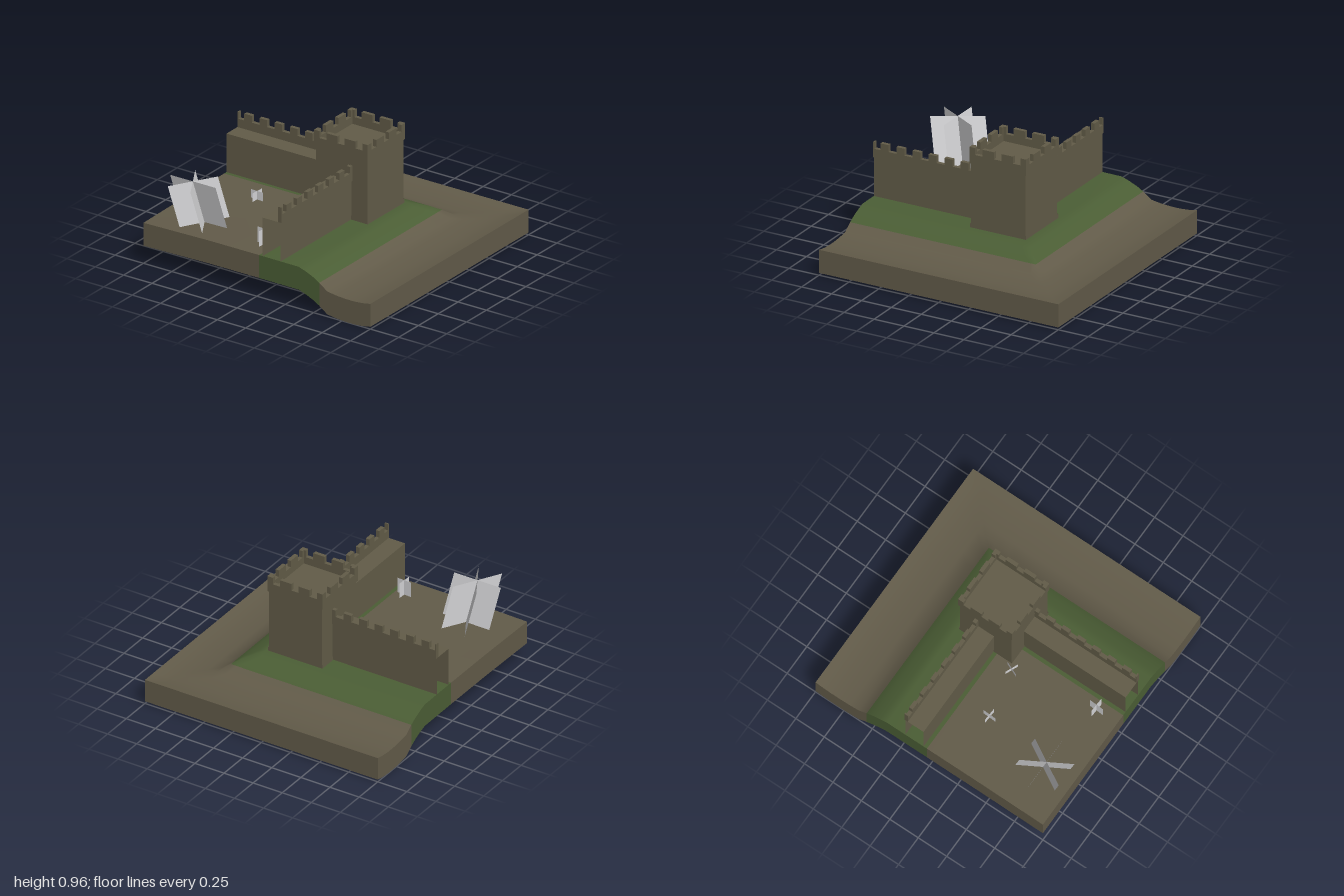
import * as THREE from 'three';

const mat = (name, color, side = THREE.DoubleSide) => {
  const m = new THREE.MeshStandardMaterial({ color, side });
  m.name = name;
  return m;
};

export function createModel() {
  const model = new THREE.Group();
  model.name = 'castleCorner';
  const earth = mat('earth', 0x625b49);
  const grass = mat('grass', 0x4b5e35);
  const stone = mat('stone', 0x625c48);
  const foliage = mat('foliage', 0xd4d4d6);

  const add = (name, geometry, material, parent = model) => {
    const mesh = new THREE.Mesh(geometry, material);
    mesh.name = name;
    parent.add(mesh);
    return mesh;
  };

  // Box from its limits; "open" lists faces left out (0 +x, 1 -x, 2 +y, 3 -y, 4 +z, 5 -z)
  const box = (name, [x0, x1], [y0, y1], [z0, z1], parent, open = []) => {
    const g = new THREE.BoxGeometry(x1 - x0, y1 - y0, z1 - z0);
    const index = Array.from(g.index.array).filter((_, i) => !open.includes(Math.floor(i / 6)));
    g.setIndex(index);
    g.clearGroups();
    g.translate((x0 + x1) / 2, (y0 + y1) / 2, (z0 + z1) / 2);
    return add(name, g, stone, parent);
  };

  // ---- Ground: height depends on the distance outward from the walled yard ----
  const profile = [[-1, 0.322], [-0.43, 0.332], [0.02, 0.332], [0.37, 0.33], [0.43, 0.31], [0.5, 0.28],
    [0.55, 0.25], [0.62, 0.2], [0.7, 0.188], [0.78, 0.183], [0.86, 0.182], [0.93, 0.188], [1, 0.2]];
  const n = profile.length;
  const skirtDepth = 0.182;
  const heightAt = (i, j) => profile[Math.max(i, j)][1];
  const isGrass = (k) => profile[k][0] >= 0.02 && profile[k][0] < 0.55;

  const groundGeometry = () => {
    const pos = [], earthIndex = [], grassIndex = [];
    for (let j = 0; j < n; j++)
      for (let i = 0; i < n; i++) pos.push(profile[i][0], heightAt(i, j), -profile[j][0]);
    for (let j = 0; j < n - 1; j++)
      for (let i = 0; i < n - 1; i++) {
        const a = j * n + i, b = a + 1, c = a + n, d = c + 1;
        (isGrass(Math.max(i, j)) ? grassIndex : earthIndex).push(a, b, d, a, d, c);
      }
    const g = new THREE.BufferGeometry();
    g.setAttribute('position', new THREE.Float32BufferAttribute(pos, 3));
    g.setIndex([...earthIndex, ...grassIndex]);
    g.addGroup(0, earthIndex.length, 0);
    g.addGroup(earthIndex.length, grassIndex.length, 1);
    g.computeVertexNormals();
    return g;
  };
  add('ground', groundGeometry(), [earth, grass]);

  // Rim hanging below each ground edge
  const skirt = (name, point, colourAt, flip) => {
    const pos = [], g = new THREE.BufferGeometry();
    for (let k = 0; k < n - 1; k++) {
      const [a, b] = flip ? [point(k + 1), point(k)] : [point(k), point(k + 1)];
      const low = ([x, y, z]) => [x, y - skirtDepth, z];
      pos.push(...low(a), ...low(b), ...b, ...low(a), ...b, ...a);
      g.addGroup(k * 6, 6, colourAt(k) ? 1 : 0);
    }
    g.setAttribute('position', new THREE.Float32BufferAttribute(pos, 3));
    g.computeVertexNormals();
    add(name, g, [earth, grass]);
  };
  const last = n - 1;
  skirt('frontRim', (k) => [profile[k][0], heightAt(k, 0), 1], isGrass, false);
  skirt('rightRim', (k) => [-1, heightAt(0, k), -profile[k][0]], isGrass, true);
  skirt('leftRim', (k) => [1, heightAt(last, k), -profile[k][0]], () => false, false);
  skirt('backRim', (k) => [profile[k][0], heightAt(k, last), -1], () => false, true);

  // ---- Two curtain walls, the second mirrored across the diagonal ----
  for (const mirrored of [false, true]) {
    const wall = new THREE.Group();
    wall.name = mirrored ? 'frontWall' : 'sideWall';
    model.add(wall);
    const place = (name, xr, yr, zr, open = []) => mirrored
      ? box(name, [-zr[1], -zr[0]], yr, [-xr[1], -xr[0]], wall, open)
      : box(name, xr, yr, zr, wall, open);
    // hollow body, open below and at both ends
    place('wallBody', [-1, -0.1], [0.245, 0.638], [-0.21, -0.05], mirrored ? [3, 4, 5] : [0, 1, 3]);
    place('parapet', [-1, -0.1], [0.638, 0.706], [-0.218, -0.188]);
    place('merlon', [-1, -0.99], [0.706, 0.76], [-0.218, -0.188]);
    for (let k = 0; k < 7; k++) {
      const x = -0.94 + k * 0.134;
      place('merlon', [x, Math.min(x + 0.067, -0.1)], [0.706, 0.76], [-0.218, -0.188]);
    }
  }

  // ---- Square corner tower ----
  const tower = new THREE.Group();
  tower.name = 'tower';
  tower.position.set(0.1225, 0, -0.1225);
  model.add(tower);
  const half = 0.2275, outer = 0.237, thick = 0.03;
  box('towerBody', [-half, half], [0.245, 0.85], [-half, half], tower, [3]);
  box('plinth', [-half - 0.006, half + 0.006], [0.245, 0.362], [-half - 0.006, half + 0.006], tower, [2, 3]);

  // battlements: the same crenellated outline on all four sides
  const outline = new THREE.Shape();
  outline.moveTo(-outer, 0.835);
  outline.lineTo(outer, 0.835);
  const gaps = [0.1585, 0.0, -0.1585];
  outline.lineTo(outer, 0.963);
  for (const c of gaps) {
    outline.lineTo(c + 0.031, 0.963);
    outline.lineTo(c + 0.031, 0.908);
    outline.lineTo(c - 0.031, 0.908);
    outline.lineTo(c - 0.031, 0.963);
  }
  outline.lineTo(-outer, 0.963);
  for (let s = 0; s < 4; s++) {
    const side = new THREE.ExtrudeGeometry(outline, { depth: thick, bevelEnabled: false });
    side.translate(0, 0, outer - thick);
    side.rotateY(s * Math.PI / 2);
    add('battlement', side, stone, tower);
  }

  // cross-shaped arrow slit on the front
  box('arrowSlit', [0.062, 0.086], [0.648, 0.762], [half, half + 0.003], tower);
  box('arrowSlitBar', [0.058, 0.09], [0.7, 0.72], [half, half + 0.004], tower);

  // ---- Plants made of crossing upright sheets ----
  const plant = (name, foot, top, y0, y1, radius, count, turn) => {
    const group = new THREE.Group();
    group.name = name;
    model.add(group);
    for (let k = 0; k < count; k++) {
      const a = turn + k * Math.PI / count;
      const g = new THREE.PlaneGeometry(2 * radius, 1);
      const p = g.attributes.position;
      for (let i = 0; i < p.count; i++) {
        const t = p.getY(i) + 0.5, r = p.getX(i);
        p.setXYZ(i,
          foot[0] + (top[0] - foot[0]) * t + r * Math.cos(a),
          y0 + (y1 - y0) * t,
          foot[1] + (top[1] - foot[1]) * t + r * Math.sin(a));
      }
      g.computeVertexNormals();
      add('leafSheet', g, foliage, group);
    }
  };
  plant('leaningTree', [-0.635, 0.747], [-0.69, 0.82], 0.32, 0.665, 0.2, 3, 0);
  plant('frontBush', [-0.06, 0.82], [-0.06, 0.82], 0.32, 0.455, 0.06, 2, 0.05);
  plant('towerBush', [-0.155, 0.14], [-0.155, 0.14], 0.32, 0.378, 0.055, 2, 0.4);
  plant('yardBush', [-0.545, 0.215], [-0.545, 0.215], 0.32, 0.4, 0.055, 2, 0.05);

  return model;
}
